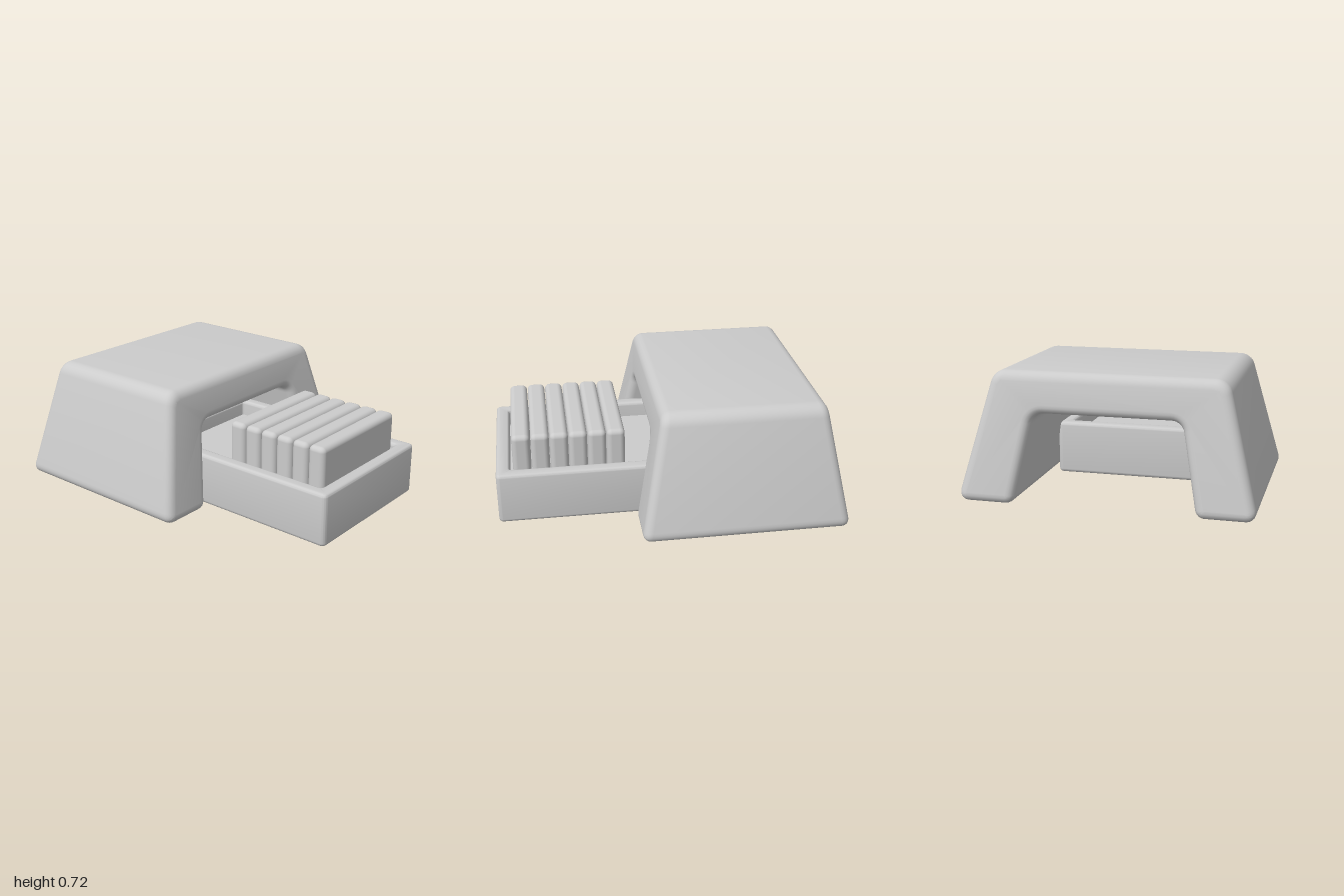
import * as THREE from 'three';
import { toCreasedNormals } from 'three/addons/utils/BufferGeometryUtils.js';
import { RoundedBoxGeometry } from 'three/addons/geometries/RoundedBoxGeometry.js';

const material = new THREE.MeshStandardMaterial({ color: 0xcccccc });

// Closed outline through [x, y, cornerRadius] points with rounded corners
function roundedOutline(points, target) {
  const n = points.length;
  points.forEach(([x, y, r], i) => {
    const p = new THREE.Vector2(x, y);
    const toward = ([qx, qy]) => new THREE.Vector2(qx, qy).sub(p).normalize();
    const a = toward(points[(i + n - 1) % n]);
    const b = toward(points[(i + 1) % n]);
    const cut = r / Math.tan(Math.acos(a.dot(b)) / 2);
    const s = p.clone().addScaledVector(a, cut);
    const e = p.clone().addScaledVector(b, cut);
    if (i === 0) target.moveTo(s.x, s.y);
    else target.lineTo(s.x, s.y);
    const k = 0.6; // cubic handles close to a circular arc
    target.bezierCurveTo(s.x - a.x * cut * k, s.y - a.y * cut * k,
      e.x - b.x * cut * k, e.y - b.y * cut * k, e.x, e.y);
  });
  target.closePath();
  return target;
}

const rect = (x0, x1, y0, y1, r) => [[x0, y0, r], [x1, y0, r], [x1, y1, r], [x0, y1, r]];

// Extrusion whose total depth includes its rounded edges, centred on its own z
function softExtrude(shape, depth, bevel) {
  const geometry = new THREE.ExtrudeGeometry(shape, {
    depth: depth - 2 * bevel, curveSegments: 8, bevelEnabled: true,
    bevelSize: bevel, bevelThickness: bevel, bevelOffset: -bevel, bevelSegments: 5,
  });
  return geometry.translate(0, 0, bevel - depth / 2);
}

function addMesh(parent, name, geometry, x = 0, y = 0, z = 0) {
  const mesh = new THREE.Mesh(geometry, material);
  mesh.name = name;
  mesh.position.set(x, y, z);
  parent.add(mesh);
  return mesh;
}

export function createModel() {
  const group = new THREE.Group();
  group.name = 'archWithTray';

  // Arch: bridge profile across z, narrowing in x toward the top
  const half = [[0.83, 0.005, 0.055], [0.647, 0.72, 0.09]];
  const inner = [[0.41, 0.495, 0.07], [0.505, 0.005, 0.055]];
  const mirror = ([x, y, r]) => [-x, y, r];
  const profile = [
    ...half, ...half.map(mirror).reverse(),
    ...inner.map(mirror).reverse(), ...inner,
  ];
  const arch = softExtrude(roundedOutline(profile, new THREE.Shape()), 2, 0.05);
  arch.rotateY(Math.PI / 2);
  const pos = arch.attributes.position;
  for (let i = 0; i < pos.count; i++) {
    // keep the rounded edge width, move each end inward with height
    const x = pos.getX(i);
    pos.setX(i, x - Math.sign(x) * (0.393 + 0.192 * pos.getY(i)));
  }
  addMesh(group, 'arch', toCreasedNormals(arch, 0.6), -0.4);

  // Tray: rounded rim wall around a sunken floor
  const tray = new THREE.Group();
  tray.name = 'tray';
  group.add(tray);
  const x0 = -0.33, x1 = 1, w = 0.465, wall = 0.08, height = 0.31;
  const rim = roundedOutline(rect(x0, x1, -w, w, 0.03), new THREE.Shape());
  rim.holes.push(roundedOutline(
    rect(x0 + wall, x1 - wall, -w + wall, w - wall, 0.015), new THREE.Path()));
  const walls = softExtrude(rim, height, 0.02).rotateX(-Math.PI / 2);
  addMesh(tray, 'trayWalls', toCreasedNormals(walls, 0.6), 0, 0.005 + height / 2);
  const floorTop = 0.22;
  addMesh(tray, 'trayFloor',
    new THREE.BoxGeometry(x1 - x0 - 0.09, floorTop - 0.005, 2 * w - 0.09),
    (x0 + x1) / 2, (floorTop + 0.005) / 2);

  // Row of upright tiles standing in the tray
  for (let i = 0; i < 6; i++) {
    addMesh(tray, `tile${i + 1}`,
      new RoundedBoxGeometry(0.105, 0.305, 0.73, 4, 0.03),
      0.3 + i * 0.1095, 0.3625, -0.017);
  }
  return group;
}
